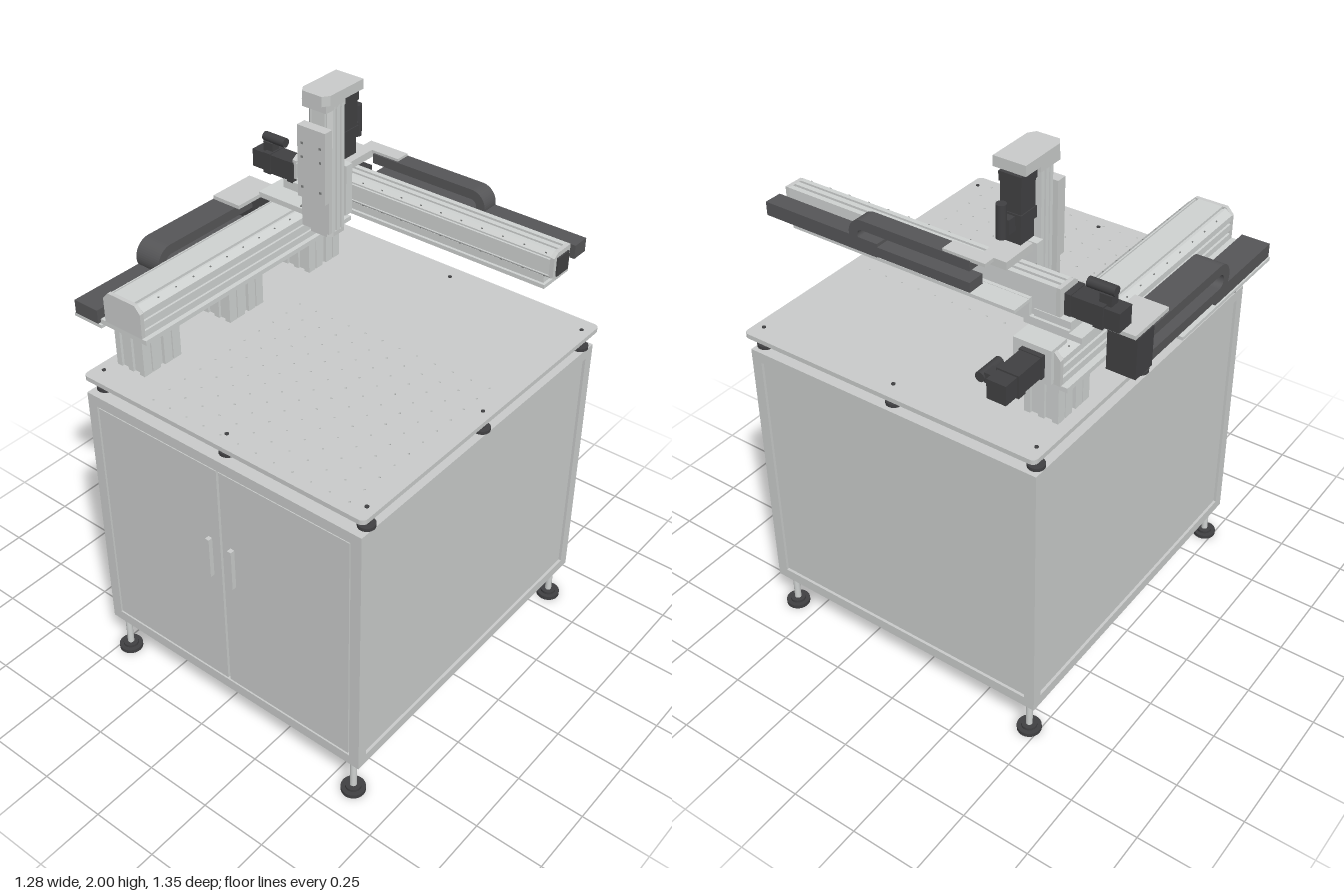
import * as THREE from 'three';

const mat = (name, color) => Object.assign(new THREE.MeshStandardMaterial({ color }), { name });

export function createModel() {
  const root = new THREE.Group();
  const panel = mat('panelGrey', 0xc8cac9), alu = mat('aluminium', 0xced1d0);
  const chainMat = mat('chainGrey', 0x555557), dark = mat('motorBlack', 0x404042);
  const gap = mat('gapGrey', 0x7c7e7d);

  const add = (name, geo, m, parent = root) => {
    const mesh = new THREE.Mesh(geo, m);
    mesh.name = name;
    parent.add(mesh);
    return mesh;
  };
  // box given by its limits
  const box = (name, m, x0, x1, y0, y1, z0, z1, parent = root) => {
    const g = new THREE.BoxGeometry(x1 - x0, y1 - y0, z1 - z0);
    g.translate((x0 + x1) / 2, (y0 + y1) / 2, (z0 + z1) / 2);
    return add(name, g, m, parent);
  };
  const cyl = (name, m, r, h, x, y, z, seg = 20, parent = root) =>
    add(name, new THREE.CylinderGeometry(r, r, h, seg).translate(x, y + h / 2, z), m, parent);
  const extrude = (shape, depth) =>
    new THREE.ExtrudeGeometry(shape, { depth, bevelEnabled: false, curveSegments: 12 });
  const poly = pts => new THREE.Shape(pts.map(p => new THREE.Vector2(...p)));
  const V = (x, y, z) => new THREE.Vector3(x, y, z);

  // cabinet: tube frame with recessed panels, open underneath
  const X0 = -0.51, X1 = 0.63, Y0 = 0.15, Y1 = 1.16, Z0 = -0.62, Z1 = 0.66, t = 0.04, d = 0.01;
  for (const x of [X0, X1 - t]) {
    for (const z of [Z0, Z1 - t]) box('framePost', panel, x, x + t, Y0, Y1, z, z + t);
    for (const y of [Y0, Y1 - t]) box('frameSideRail', panel, x, x + t, y, y + t, Z0 + t, Z1 - t);
  }
  for (const z of [Z0, Z1 - t])
    for (const y of [Y0, Y1 - t]) box('frameCrossRail', panel, X0 + t, X1 - t, y, y + t, z, z + t);
  box('rightPanel', panel, X0 + d, X0 + 2 * d, Y0 + t, Y1 - t, Z0 + t, Z1 - t);
  box('leftPanel', panel, X1 - 2 * d, X1 - d, Y0 + t, Y1 - t, Z0 + t, Z1 - t);
  box('backPanel', panel, X0 + t, X1 - t, Y0 + t, Y1 - t, Z0 + d, Z0 + 2 * d);
  box('topPanel', panel, X0 + t, X1 - t, Y1 - 0.02, Y1 - 0.01, Z0 + t, Z1 - t);
  box('doorBacking', gap, X0 + t, X1 - t, Y0 + t, Y1 - t, Z1 - 0.022, Z1 - 0.018);
  box('doorRight', panel, X0 + t + 0.006, 0.055, Y0 + t + 0.006, Y1 - t - 0.006, Z1 - 0.018, Z1 - 0.002);
  box('doorLeft', panel, 0.065, X1 - t - 0.006, Y0 + t + 0.006, Y1 - t - 0.006, Z1 - 0.018, Z1 - 0.002);
  for (const x of [0.012, 0.108]) box('doorHandle', panel, x - 0.008, x + 0.008, 0.66, 0.82, Z1 - 0.004, Z1 + 0.015);

  // floor feet
  for (const x of [-0.465, 0.59]) for (const z of [-0.58, 0.635]) {
    cyl('footPad', dark, 0.043, 0.015, x, 0, z, 24);
    cyl('footCollar', dark, 0.028, 0.01, x, 0.015, z);
    cyl('footStem', alu, 0.012, 0.13, x, 0.022, z, 16);
  }

  // work plate with a grid of holes
  const [px0, px1, pz0, pz1, r] = [-0.515, 0.64, -0.635, 0.665, 0.02];
  const plate = new THREE.Shape();
  plate.absarc(px1 - r, pz1 - r, r, 0, Math.PI / 2);
  plate.absarc(px0 + r, pz1 - r, r, Math.PI / 2, Math.PI);
  plate.absarc(px0 + r, pz0 + r, r, Math.PI, Math.PI * 1.5);
  plate.absarc(px1 - r, pz0 + r, r, Math.PI * 1.5, Math.PI * 2);
  for (let i = 0; i < 12; i++) for (let j = 0; j < 11; j++) {
    const x = -0.24 + i * 0.072, z = -0.1 + j * 0.072, h = 0.0045;
    plate.holes.push(new THREE.Path([[h, 0], [0, -h], [-h, 0], [0, h]].map(p => new THREE.Vector2(x + p[0], z + p[1]))));
  }
  add('workPlate', extrude(plate, 0.017).rotateX(Math.PI / 2).translate(0, 1.231, 0), panel);

  // levelling feet below the plate, screws above
  for (const x of [-0.48, 0.06, 0.605]) for (const z of [-0.575, 0.015, 0.605]) {
    if (x === 0.06 && z === 0.015) continue;
    cyl('levellerPad', dark, 0.029, 0.012, x, 1.16, z);
    cyl('levellerStem', dark, 0.011, 0.045, x, 1.17, z, 12);
    cyl('plateScrew', dark, 0.007, 0.004, x, 1.23, z, 10);
  }

  // slotted risers carrying the long rail
  for (const z of [0.465, 0.055, -0.365]) {
    box('riserCore', alu, -0.46, -0.36, 1.23, 1.378, z - 0.075, z + 0.075);
    for (const x of [-0.472, -0.421, -0.37]) for (const k of [-0.085, -0.045, 0.01, 0.05])
      box('riserRib', alu, x, x + 0.022, 1.23, 1.378, z + k, z + k + 0.035);
  }
  box('railBasePlate', alu, -0.515, -0.31, 1.378, 1.395, -0.47, 0.565);

  // linear rail: u = across, v = outward, w = along
  const rail = (name, w, h, len, u, v, origin) => {
    const g = new THREE.Group();
    g.name = name;
    const a = w / 2, s = 0.008;
    const half = [[a, 0], [a, h * 0.2], [a - s, h * 0.2], [a - s, h * 0.32], [a, h * 0.32], [a, h * 0.52],
      [a - s, h * 0.52], [a - s, h * 0.62], [a, h * 0.62], [a, h * 0.8], [a * 0.72, h * 0.97],
      [a * 0.66, h * 0.97], [a * 0.66, h * 0.92], [a * 0.55, h * 0.92], [a * 0.55, h]];
    const mirror = half.map(([x, y]) => [-x, y]).reverse();
    add('railBody', extrude(poly([...half, ...mirror]), len - 0.03).translate(0, 0, 0.015), alu, g);
    const cap = poly([[a, 0], [a, h * 0.78], [a * 0.72, h], [-a * 0.72, h], [-a, h * 0.78], [-a, 0]]);
    for (const z of [0, len - 0.015]) add('railEndCap', extrude(cap, 0.015).translate(0, 0, z), panel, g);
    for (let z = 0.06; z < len - 0.04; z += 0.08) for (const k of [-0.82, 0.82])
      box('railScrew', gap, a * k - 0.003, a * k + 0.003, h * 0.89, h * 0.915, z, z + 0.006, g);
    g.applyMatrix4(new THREE.Matrix4().makeBasis(u, v, u.clone().cross(v)).setPosition(origin));
    root.add(g);
  };
  rail('longRail', 0.165, 0.115, 1.04, V(1, 0, 0), V(0, 1, 0), V(-0.41, 1.395, -0.475));
  rail('crossRail', 0.098, 0.092, 1.06, V(0, 1, 0), V(0, 0, 1), V(-0.43, 1.613, -0.387));
  rail('verticalRail', 0.1, 0.075, 0.49, V(-1, 0, 0), V(0, 0, 1), V(-0.227, 1.475, -0.265));

  // motor: stepped body along +z local with a side plug on +x
  const motor = (name, w, len, u, v, origin) => {
    const g = new THREE.Group();
    g.name = name;
    const a = w / 2;
    box('motorFlange', dark, -a, a, -a, a, 0, len * 0.14, g);
    box('motorBody', dark, -a * 0.92, a * 0.92, -a * 0.92, a * 0.92, len * 0.14, len * 0.55, g);
    box('motorBrake', dark, -a, a, -a, a, len * 0.55, len * 0.72, g);
    box('motorEncoder', dark, -a * 0.85, a * 0.85, -a * 0.85, a * 0.85, len * 0.72, len, g);
    box('plugBase', dark, a * 0.8, a + 0.03, -0.018, 0.018, len * 0.58, len * 0.8, g);
    add('plugElbow', new THREE.CylinderGeometry(0.017, 0.017, len * 0.5, 14).rotateX(Math.PI / 2)
      .translate(a + 0.042, 0, len * 0.58), dark, g);
    g.applyMatrix4(new THREE.Matrix4().makeBasis(u, v, u.clone().cross(v)).setPosition(origin));
    root.add(g);
  };
  motor('longRailMotor', 0.08, 0.195, V(1, 0, 0), V(0, -1, 0), V(-0.408, 1.46, -0.48));
  motor('crossRailMotor', 0.078, 0.19, V(0, 1, 0), V(0, 0, -1), V(-0.425, 1.6, -0.328));
  motor('verticalMotor', 0.08, 0.225, V(0, 0, -1), V(1, 0, 0), V(-0.227, 1.955, -0.312));

  // carriage on the long rail and the support under the cross rail
  box('longCarriage', alu, -0.515, -0.31, 1.512, 1.532, -0.4, -0.21);
  box('carriageBlock', alu, -0.47, -0.34, 1.53, 1.565, -0.39, -0.29);
  box('crossBasePlate', alu, -0.47, 0.6, 1.526, 1.54, -0.4, -0.3);
  box('crossBaseRib', alu, -0.43, 0.59, 1.54, 1.566, -0.385, -0.31);
  box('crossBackAngle', alu, -0.33, 0.6, 1.526, 1.6, -0.4, -0.387);
  box('motorMount', alu, -0.47, -0.335, 1.4, 1.52, -0.49, -0.41);
  for (const z of [-0.25, -0.225]) cyl('carriageScrew', gap, 0.007, 0.003, -0.33, 1.531, z, 10);

  // vertical slide: carriage plate, cap and mounting block
  box('slidePlate', panel, -0.285, -0.168, 1.5, 1.88, -0.19, -0.172);
  box('slideFace', panel, -0.285, -0.168, 1.62, 1.88, -0.172, -0.152);
  for (const x of [-0.265, -0.188]) for (const y of [1.66, 1.77, 1.82])
    box('slideScrew', gap, x - 0.004, x + 0.004, y - 0.004, y + 0.004, -0.153, -0.15);
  const cap = poly([[-0.285, 0.355], [-0.285, 0.185], [-0.268, 0.16], [-0.187, 0.16], [-0.17, 0.185], [-0.17, 0.355]]);
  add('verticalCap', extrude(cap, 0.035).rotateX(-Math.PI / 2).translate(0, 1.965, 0), panel);
  box('verticalCapLip', panel, -0.278, -0.177, 1.94, 1.966, -0.27, -0.17);
  box('verticalBackPlate', alu, -0.285, -0.168, 1.535, 1.72, -0.296, -0.264);

  // cable chains: a flat band doubling back on itself
  const chain = (s0, bend, low, high, th) => {
    const ro = (high - low) / 2, c = low + ro, b = bend - ro, s = new THREE.Shape();
    s.moveTo(s0, low);
    s.lineTo(b, low);
    s.absarc(b, c, ro, -Math.PI / 2, Math.PI / 2, false);
    s.lineTo(s0, high);
    s.lineTo(s0, high - th);
    s.absarc(b, c, ro - th, Math.PI / 2, -Math.PI / 2, true);
    s.lineTo(s0, low + th);
    return s;
  };
  const yChain = extrude(chain(-0.19, 0.28, 1.385, 1.508, 0.036), 0.104);
  yChain.applyMatrix4(new THREE.Matrix4().makeBasis(V(0, 0, 1), V(0, 1, 0), V(-1, 0, 0)).setPosition(-0.53, 0, 0));
  add('longCableChain', yChain, chainMat);
  box('longChainTrough', chainMat, -0.634, -0.53, 1.37, 1.42, 0.2, 0.565);
  box('longChainTray', alu, -0.64, -0.515, 1.358, 1.37, -0.015, 0.565);
  box('longChainArm', panel, -0.63, -0.51, 1.51, 1.524, -0.29, -0.1);
  box('longChainDrop', dark, -0.634, -0.53, 1.365, 1.51, -0.285, -0.19);

  add('crossCableChain', extrude(chain(-0.17, 0.29, 1.6, 1.708, 0.034), 0.064).translate(0, 0, -0.475), chainMat);
  box('crossChainTrough', chainMat, 0.18, 0.635, 1.597, 1.645, -0.475, -0.411);
  box('crossChainTray', alu, -0.33, 0.2, 1.588, 1.599, -0.475, -0.387);
  box('crossChainArm', panel, -0.225, -0.07, 1.705, 1.717, -0.472, -0.418);
  box('crossChainLink', panel, -0.27, -0.18, 1.69, 1.717, -0.43, -0.28);
  box('crossRailStop', dark, 0.628, 0.636, 1.58, 1.645, -0.375, -0.31);
  return root;
}
